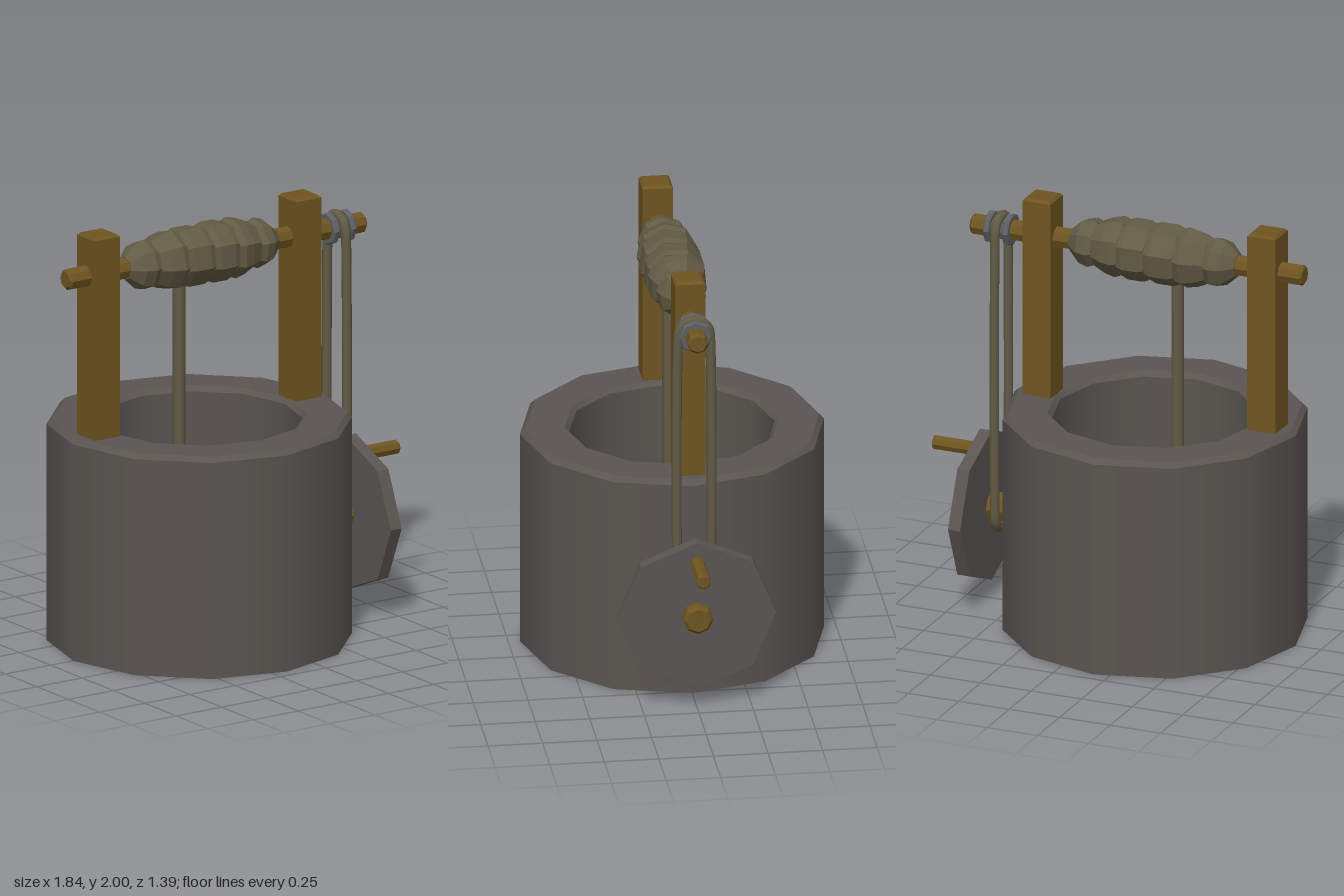
import * as THREE from 'three';

const stone = new THREE.MeshStandardMaterial({ color: 0x5a5551, side: THREE.DoubleSide });
stone.name = 'stone';
const wood = new THREE.MeshStandardMaterial({ color: 0x6e5420 });
wood.name = 'wood';
const rope = new THREE.MeshStandardMaterial({ color: 0x625b45 });
rope.name = 'rope';
const metal = new THREE.MeshStandardMaterial({ color: 0x5e6062 });
metal.name = 'metal';

const WELL_X = -0.178, AXLE_Y = 1.81, CRANK_Y = 0.452;

export function createModel() {
  const model = new THREE.Group();
  model.name = 'well';

  const add = (name, geometry, material, x = 0, y = 0, z = 0, parent = model) => {
    const mesh = new THREE.Mesh(geometry, material);
    mesh.name = name;
    mesh.position.set(x, y, z);
    parent.add(mesh);
    return mesh;
  };

  // faceted normals
  const flat = (geometry) => {
    const g = geometry.toNonIndexed();
    g.computeVertexNormals();
    return g;
  };

  // solid of revolution lying along x, from [x, radius] pairs
  const turned = (profile, sides = 8) => {
    const points = profile.map(([x, r]) => new THREE.Vector2(r, x));
    return flat(new THREE.LatheGeometry(points, sides).rotateZ(-Math.PI / 2));
  };

  // rod along x with chamfered ends
  const rod = (x0, x1, r, bevel = 0.012) => turned([
    [x0, 0], [x0, r - bevel], [x0 + bevel, r], [x1 - bevel, r], [x1, r - bevel], [x1, 0],
  ]);

  // stone shaft: outer wall, chamfers, rim, inner wall and floor
  const shaft = new THREE.Group();
  shaft.name = 'shaft';
  shaft.position.x = WELL_X;
  model.add(shaft);
  const band = (name, r0, y0, r1, y1) => add(name,
    new THREE.CylinderGeometry(r1, r0, y1 - y0, 12, 1, true), stone, 0, (y0 + y1) / 2, 0, shaft);
  band('outerWall', 0.697, 0, 0.697, 1.022);
  band('outerChamfer', 0.697, 1.022, 0.673, 1.045);
  band('innerChamfer', 0.47, 1.022, 0.492, 1.045);
  band('innerWall', 0.47, 0, 0.47, 1.022);
  add('rim', new THREE.RingGeometry(0.492, 0.673, 12).rotateX(-Math.PI / 2), stone, 0, 1.045, 0, shaft);
  add('floor', new THREE.CircleGeometry(0.47, 12).rotateX(Math.PI / 2), stone, 0, 0, 0, shaft);

  // square posts with chamfered edges
  const bevel = 0.012, half = 0.07 - bevel;
  const square = new THREE.Shape([[-half, -half], [half, -half], [half, half], [-half, half]]
    .map(([x, y]) => new THREE.Vector2(x, y)));
  const postGeometry = flat(new THREE.ExtrudeGeometry(square, {
    depth: 1 - 2 * bevel, bevelEnabled: true, bevelSize: bevel, bevelThickness: bevel, bevelSegments: 1,
  }).rotateX(-Math.PI / 2));
  for (const [name, side] of [['rightPost', -1], ['leftPost', 1]]) {
    add(name, postGeometry, wood, WELL_X + side * 0.557, 1 + bevel, 0);
  }

  // axle through both posts
  add('axle', rod(-0.92, 0.725, 0.05), wood, 0, AXLE_Y);

  // rope wound on the axle: thick turns in the middle, thin at the ends
  const coil = new THREE.Group();
  coil.name = 'ropeCoil';
  coil.position.y = AXLE_Y;
  model.add(coil);
  const edges = [-0.59, -0.455, -0.315, -0.17, -0.035, 0.1, 0.23];
  const radii = [0.055, 0.105, 0.13, 0.13, 0.13, 0.105, 0.055];
  for (let i = 0; i < 6; i++) {
    const a = edges[i], b = edges[i + 1], r0 = radii[i], r1 = radii[i + 1];
    const bump = Math.min(0.142, Math.max(r0, r1) + 0.012);
    const inA = r0 < r1 ? 0.055 : 0.03, inB = r1 < r0 ? 0.055 : 0.03;
    const turn = add('ropeTurn', turned([
      [a, 0], [a, r0], [a + inA, bump - (r0 < r1 ? 0.012 : 0)],
      [b - inB, bump - (r1 < r0 ? 0.012 : 0)], [b, r1], [b, 0],
    ]), rope, 0, 0, 0, coil);
    turn.rotation.x = 0.12 * i;
  }

  // rope hanging into the shaft
  add('hangingRope', new THREE.CylinderGeometry(0.03, 0.03, 1.68, 8), rope, -0.29, 0.9, 0);

  // pulley flanges on the axle
  for (const x of [0.537, 0.63]) {
    add('pulleyFlange', rod(x - 0.015, x + 0.015, 0.077, 0.006), metal, 0, AXLE_Y);
  }
  add('pulleyCore', rod(0.537, 0.63, 0.055, 0.002), metal, 0, AXLE_Y);

  // drive rope looped round the pulley and the crank shaft
  const loop = [];
  for (const [y, start] of [[1.798, 0], [0.43, Math.PI]]) {
    for (let i = 0; i <= 8; i++) {
      const t = start + i * Math.PI / 8;
      loop.push(new THREE.Vector3(0.583, y + 0.072 * Math.sin(t), 0.072 * Math.cos(t)));
    }
  }
  const path = new THREE.CatmullRomCurve3(loop, true, 'centripetal');
  add('driveRope', new THREE.TubeGeometry(path, 160, 0.023, 8, true), rope);

  // crank shaft, wheel and handle
  add('crankShaft', rod(0.505, 0.745, 0.07, 0.015), wood, 0, CRANK_Y);
  add('crankWheel', rod(0.63, 0.69, 0.363, 0.001), stone, 0, CRANK_Y);
  add('crankHandle', rod(0.68, 0.915, 0.034, 0.005), wood, 0, 0.715);

  return model;
}
